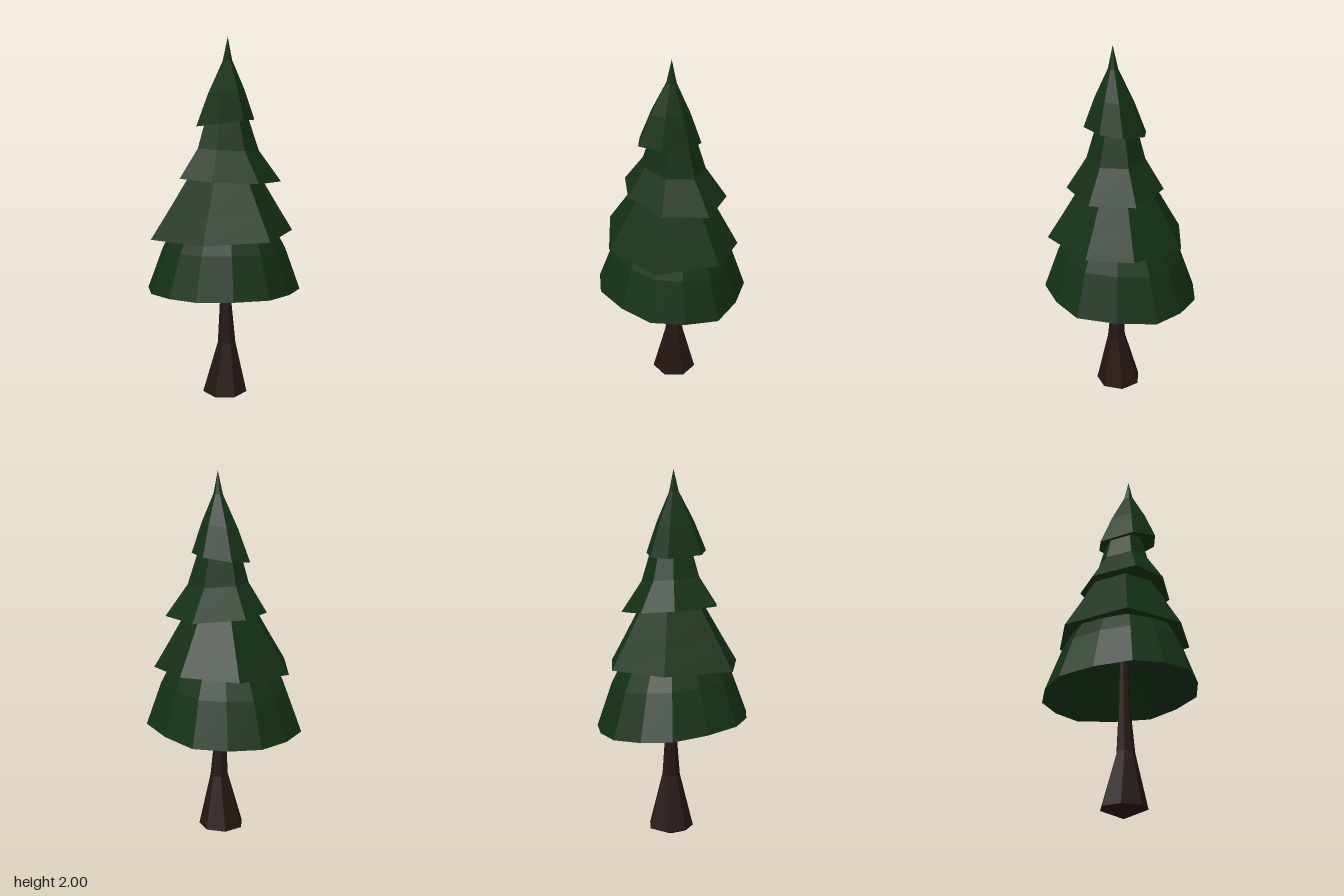
import * as THREE from 'three';

const leaf = new THREE.MeshStandardMaterial({ color: 0x133015, flatShading: true, side: THREE.DoubleSide });
const bark = new THREE.MeshStandardMaterial({ color: 0x241611, flatShading: true });

// Skin a stack of equal-length rings, clockwise seen from above, listed from the underside to the top
function loft(rings) {
  const pos = [];
  for (let r = 0; r < rings.length - 1; r++) {
    const a = rings[r], b = rings[r + 1], n = a.length;
    for (let i = 0; i < n; i++) {
      const j = (i + 1) % n;
      pos.push(...a[j], ...a[i], ...b[i], ...a[j], ...b[i], ...b[j]);
    }
  }
  const g = new THREE.BufferGeometry();
  g.setAttribute('position', new THREE.Float32BufferAttribute(pos, 3));
  g.computeVertexNormals();
  return g;
}

// Add a pushed-out point halfway along every side
const bulge = (corners, k) => corners.flatMap(([x, z], i) => {
  const [x2, z2] = corners[(i + 1) % corners.length];
  return [[x, z], [(x + x2) / 2 * k, (z + z2) / 2 * k]];
});

// One skirt of branches: ragged outline [x, z] on a tilted rim, lofted through [scale, height] steps
function skirt(name, outline, { tilt: [tx, tz], steps, centre: [cx, cz] = [0, 0] }) {
  const rings = steps.map(([s, y]) => outline.map(([x, z]) => [
    cx + (x - cx) * s, y + (tx * x + tz * z) * s, cz + (z - cz) * s,
  ]));
  const mesh = new THREE.Mesh(loft(rings), leaf);
  mesh.name = name;
  return mesh;
}

// Flared seven-sided trunk with a shallow pointed foot
function makeTrunk() {
  const profile = [[0, 0, 0], [0.125, 0.05, 0], [0.05, 0.34, 0.01], [0.029, 0.62, 0.003], [0.022, 1, 0]];
  const rings = profile.map(([r, y, shift]) => Array.from({ length: 7 }, (_, i) => {
    const a = (i / 7) * Math.PI * 2 + 0.2;
    return [shift + Math.cos(a) * r, y, shift * 0.7 + Math.sin(a) * r];
  }));
  const mesh = new THREE.Mesh(loft(rings), bark);
  mesh.name = 'trunk';
  return mesh;
}

export function createModel() {
  const tree = new THREE.Group();
  tree.name = 'pineTree';
  tree.add(makeTrunk());

  // Widest skirt, hollow beneath
  const bottom = [[-0.15, -0.4], [0.2, -0.35], [0.41, 0.01], [0.24, 0.33], [-0.135, 0.4], [-0.385, 0.19], [-0.405, -0.19]];
  tree.add(skirt('bottomBranches', bulge(bottom, 1.07), {
    tilt: [0, 0.1],
    steps: [[0, 0.92], [1, 0.65], [0.8, 0.88], [0.62, 1.02], [0, 1.1]],
  }));

  const lower = [[-0.04, -0.36], [0.25, -0.24], [0.365, -0.02], [0.24, 0.3], [-0.1, 0.355], [-0.385, 0.165], [-0.33, -0.2]];
  tree.add(skirt('lowerBranches', lower, {
    tilt: [0.03, 0.03],
    steps: [[0, 1.02], [0.7, 0.99], [1, 0.965], [0.78, 1.1], [0.51, 1.27], [0, 1.35]],
  }));

  const upper = [[-0.095, -0.22], [0.18, -0.21], [0.3, 0], [0.18, 0.21], [-0.06, 0.25], [-0.23, 0.155], [-0.23, -0.09]];
  tree.add(skirt('upperBranches', upper, {
    tilt: [-0.05, 0.07],
    steps: [[0, 1.32], [0.6, 1.29], [1, 1.26], [0.6, 1.42], [0.42, 1.58], [0, 1.65]],
    centre: [0, 0.01],
  }));

  // Slender tip leaning slightly off centre
  const top = [[-0.035, -0.135], [0.11, -0.09], [0.155, 0.02], [0.1, 0.15], [-0.03, 0.2], [-0.145, 0.11], [-0.14, -0.085]];
  tree.add(skirt('treetop', top, {
    tilt: [0.12, 0.1],
    steps: [[0, 1.6], [0.6, 1.57], [1, 1.555], [0.62, 1.72], [0.16, 1.88], [0, 2]],
    centre: [0.015, 0.025],
  }));

  return tree;
}
